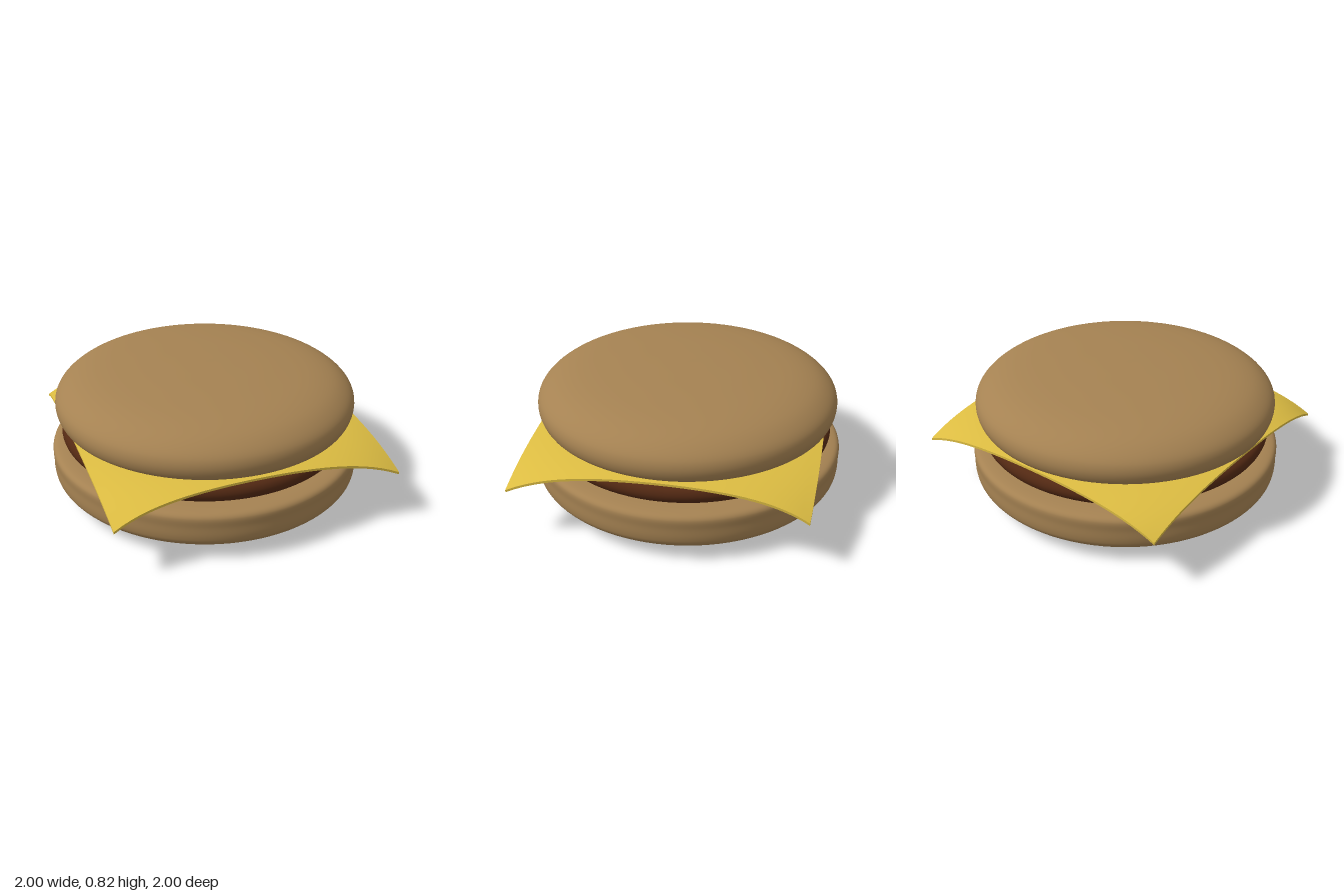
import * as THREE from 'three';

const material = (color) => new THREE.MeshStandardMaterial({ color });

// Round layer: a smooth profile, listed from the bottom centre to the top centre
function roundLayer(name, profile, mat) {
  const curve = new THREE.CatmullRomCurve3(
    profile.map(([r, y]) => new THREE.Vector3(r, y, 0)), false, 'centripetal');
  const points = curve.getPoints(60).map((p) => new THREE.Vector2(Math.max(0, p.x), p.y));
  const mesh = new THREE.Mesh(new THREE.LatheGeometry(points, 96), mat);
  mesh.name = name;
  return mesh;
}

// Square slice whose corners sag and lean slightly sideways
function cheeseSlice(mat) {
  const thickness = 0.015;
  const geometry = new THREE.BoxGeometry(1.8, thickness, 1.8, 32, 1, 32);
  const pos = geometry.attributes.position;
  for (let i = 0; i < pos.count; i++) {
    const x = pos.getX(i);
    const z = pos.getZ(i);
    const drop = 0.045 * Math.pow(Math.hypot(x, z), 5.5);
    const lean = 0.18 * Math.max(0, drop - 0.025);
    pos.setXYZ(i, x + lean, pos.getY(i) + 0.498 - drop, z + lean);
  }
  geometry.computeVertexNormals();
  const mesh = new THREE.Mesh(geometry, mat);
  mesh.name = 'cheeseSlice';
  return mesh;
}

export function createModel() {
  const model = new THREE.Group();
  model.name = 'cheeseburger';
  const bread = material(0xa58252);

  // Bottom bun: rounded base, straight side, flat top
  model.add(roundLayer('bottomBun', [
    [0, 0.003], [0.35, 0.01], [0.63, 0.026], [0.845, 0.053], [0.95, 0.09], [0.99, 0.13],
    [1, 0.17], [1, 0.235], [1, 0.295], [0.985, 0.315], [0.95, 0.326], [0.85, 0.331], [0, 0.333],
  ], bread));

  // Patty with a bulging rim
  model.add(roundLayer('patty', [
    [0, 0.333], [0.8, 0.337], [0.88, 0.347], [0.922, 0.376], [0.935, 0.415],
    [0.922, 0.45], [0.88, 0.472], [0.8, 0.48], [0, 0.487],
  ], material(0x532913)));

  model.add(cheeseSlice(material(0xdcbc42)));

  // Top bun: flat underside and low dome
  model.add(roundLayer('topBun', [
    [0, 0.507], [0.85, 0.508], [0.91, 0.512], [0.945, 0.535], [0.965, 0.6], [0.948, 0.665],
    [0.87, 0.733], [0.74, 0.78], [0.47, 0.813], [0.2, 0.825], [0, 0.828],
  ], bread));

  return model;
}
